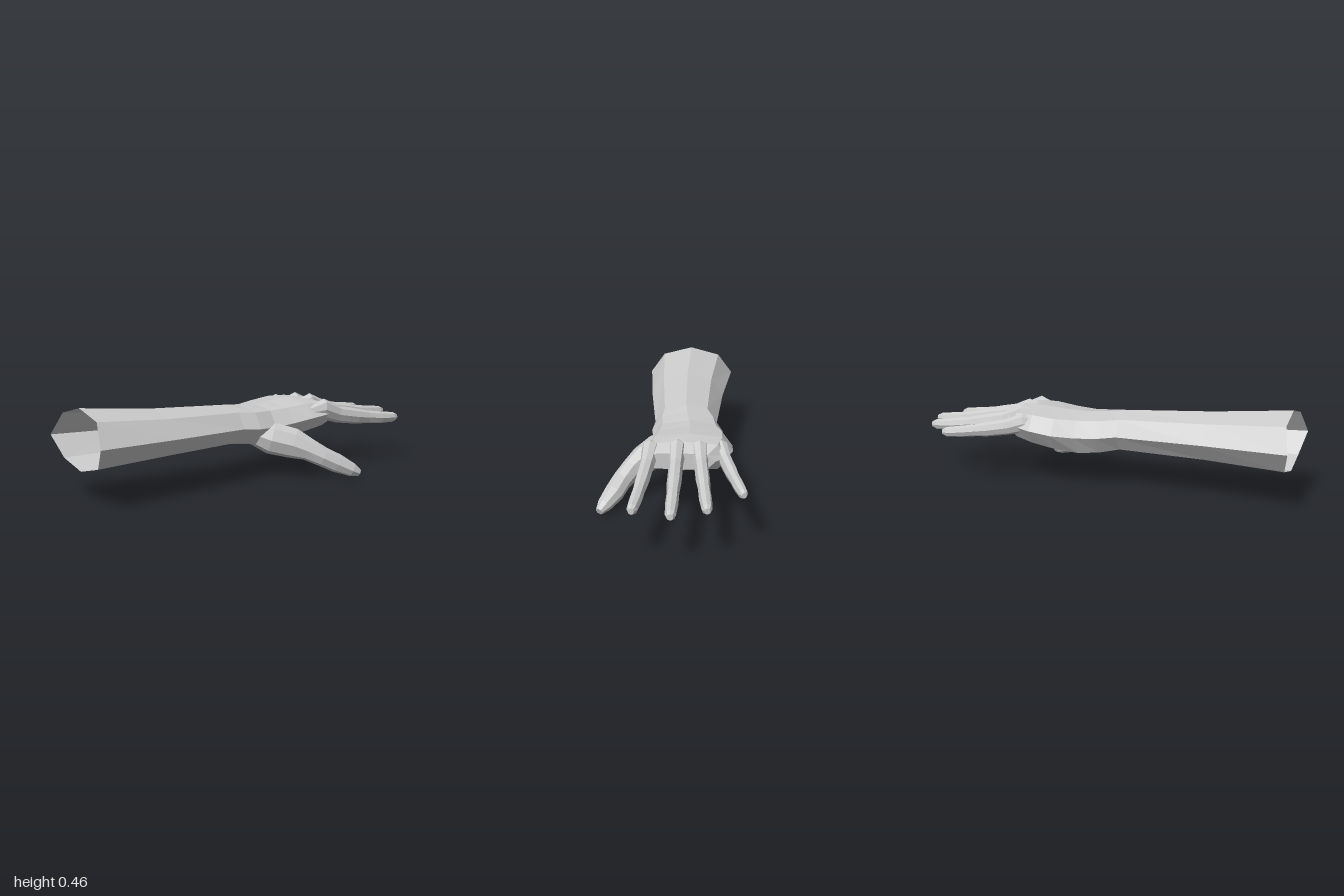
import * as THREE from 'three';

const SIDES = 8;

// Skins a list of 8-point rings running along an axis; facets stay flat.
function loft(rings, capStart, capEnd) {
  const pos = [];
  const tri = (a, b, c) => pos.push(...a.toArray(), ...b.toArray(), ...c.toArray());
  for (let r = 0; r < rings.length - 1; r++) {
    const a = rings[r], b = rings[r + 1];
    for (let i = 0; i < SIDES; i++) {
      const j = (i + 1) % SIDES;
      tri(a[i], a[j], b[j]);
      tri(a[i], b[j], b[i]);
    }
  }
  const first = rings[0], last = rings[rings.length - 1];
  for (let i = 1; i < SIDES - 1; i++) {
    if (capStart) tri(first[0], first[i + 1], first[i]);
    if (capEnd) tri(last[0], last[i], last[i + 1]);
  }
  const geo = new THREE.BufferGeometry();
  geo.setAttribute('position', new THREE.Float32BufferAttribute(pos, 3));
  geo.computeVertexNormals();
  return geo;
}

// Cross-section of the arm: width and height limits, side height, corner fullness
function armRing([x, zBack, zFront, top, bottom, side, full, flare = 0]) {
  const mid = (zBack + zFront) / 2, half = (zFront - zBack) / 2;
  const ring = [];
  for (let i = 0; i < SIDES; i++) {
    const isSide = i % 4 === 0, isCorner = i % 2 === 1;
    const across = -Math.sign(Math.round(Math.cos(i * Math.PI / 4) * 10)) * (isCorner ? full * 0.92 : 1);
    const up = Math.sign(Math.round(Math.sin(i * Math.PI / 4) * 10)) * (isCorner ? full : 1);
    const y = side + (up > 0 ? up * (top - side) : up * (side - bottom));
    ring.push(new THREE.Vector3(x + (isSide ? 0 : flare), y, mid + across * half));
  }
  return ring;
}

// Tapered digit through sections of [x, y, z, half width, half height]
function digit(sections) {
  const pts = sections.map(s => new THREE.Vector3(s[0], s[1], s[2]));
  const up = new THREE.Vector3(0, 1, 0);
  const rings = sections.map((s, k) => {
    const d = pts[Math.min(k + 1, pts.length - 1)].clone().sub(pts[Math.max(k - 1, 0)]).normalize();
    const across = d.clone().cross(up).normalize();
    const rise = across.clone().cross(d);
    return Array.from({ length: SIDES }, (_, i) => {
      const a = i * Math.PI / 4;
      return pts[k].clone()
        .addScaledVector(across, -Math.cos(a) * s[3])
        .addScaledVector(rise, Math.sin(a) * s[4]);
    });
  });
  return loft(rings, true, true);
}

export function createModel() {
  const model = new THREE.Group();
  model.name = 'armAndHand';
  const skin = new THREE.MeshStandardMaterial({ color: 0xcccccc, side: THREE.DoubleSide });
  skin.name = 'light grey skin';
  const add = (name, geo) => {
    const mesh = new THREE.Mesh(geo, skin);
    mesh.name = name;
    model.add(mesh);
  };

  // Forearm, open at the elbow end
  const wrist = [-0.12, -0.21, 0.115, 0.395, 0.19, 0.29, 0.75];
  add('forearm', loft([
    [-1, -0.28, 0.2, 0.468, 0.165, 0.31, 0.73, 0.028],
    [-0.57, -0.235, 0.165, 0.425, 0.18, 0.3, 0.73],
    wrist,
  ].map(armRing), false, false));

  // Wrist and palm, closed at the knuckles
  add('palm', loft([
    wrist,
    [-0.02, -0.243, 0.125, 0.382, 0.172, 0.28, 0.78],
    [0.09, -0.255, 0.11, 0.376, 0.165, 0.275, 0.8],
    [0.2, -0.295, 0.125, 0.38, 0.185, 0.285, 0.8],
    [0.32, -0.298, 0.137, 0.388, 0.21, 0.3, 0.82],
    [0.42, -0.27, 0.14, 0.382, 0.235, 0.31, 0.85],
    [0.49, -0.215, 0.125, 0.35, 0.265, 0.31, 0.85],
  ].map(armRing), false, true));

  // Fingers: [fraction of length, fraction of drop, half width, half height]
  const profile = [
    [-0.16, 0.1, 0.025, 0.03],
    [0, 0, 0.043, 0.056],
    [0.2, 0.42, 0.034, 0.046],
    [0.45, 0.68, 0.034, 0.042],
    [0.6, 0.8, 0.029, 0.035],
    [0.78, 0.93, 0.03, 0.033],
    [0.95, 1, 0.025, 0.028],
    [1, 1, 0.014, 0.015],
  ];
  const fingers = [
    ['indexFinger', [0.42, 0.335, 0.098], [0.935, 0.243, 0.146], 1],
    ['middleFinger', [0.43, 0.347, -0.03], [0.998, 0.248, -0.03], 1],
    ['ringFinger', [0.42, 0.342, -0.138], [0.94, 0.254, -0.19], 0.98],
    ['littleFinger', [0.37, 0.328, -0.24], [0.785, 0.266, -0.352], 0.9],
  ];
  for (const [name, base, tip, size] of fingers) {
    add(name, digit(profile.map(([t, drop, w, h]) => [
      base[0] + t * (tip[0] - base[0]),
      base[1] + drop * (tip[1] - base[1]),
      base[2] + t * (tip[2] - base[2]),
      w * size, h * size,
    ])));
  }

  // Thumb with its fleshy root
  add('thumb', digit([
    [0.0, 0.245, 0.03, 0.05, 0.06],
    [0.08, 0.215, 0.08, 0.075, 0.085],
    [0.17, 0.187, 0.155, 0.066, 0.08],
    [0.225, 0.157, 0.21, 0.052, 0.06],
    [0.285, 0.118, 0.255, 0.049, 0.052],
    [0.355, 0.08, 0.288, 0.05, 0.05],
    [0.425, 0.042, 0.33, 0.037, 0.036],
    [0.46, 0.024, 0.35, 0.02, 0.019],
  ]));

  return model;
}
